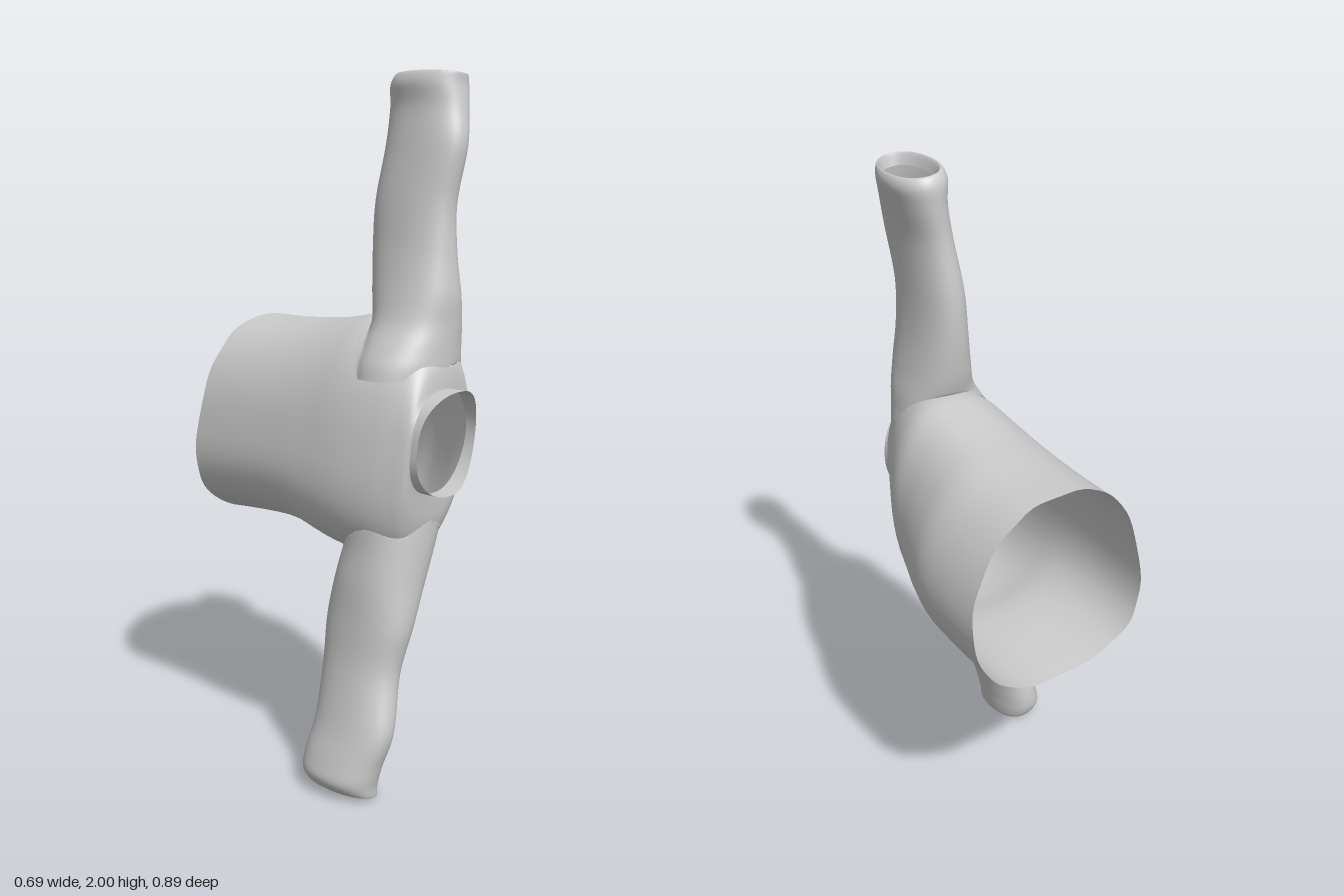
import * as THREE from 'three';

const material = new THREE.MeshStandardMaterial({ color: 0xcccccc, side: THREE.DoubleSide });
const SIDES = 64;
const STEPS = 6;

// Smooth interpolation through rows of numbers (Catmull-Rom, column by column)
function refine(rows) {
  const out = [];
  const last = rows.length - 1;
  for (let i = 0; i < last; i++) {
    const p = [rows[Math.max(i - 1, 0)], rows[i], rows[i + 1], rows[Math.min(i + 2, last)]];
    for (let s = 0; s < STEPS; s++) {
      const t = s / STEPS;
      out.push(p[1].map((b, c) => {
        const a = p[0][c], d = p[2][c], e = p[3][c];
        return 0.5 * (2 * b + (d - a) * t + (2 * a - 5 * b + 4 * d - e) * t * t + (3 * b - a - 3 * d + e) * t * t * t);
      }));
    }
  }
  out.push(rows[last]);
  return out;
}

// Point on an oval given as [position, uMin, uMax, vMin, vMax]
function oval([, u0, u1, v0, v1], a, power) {
  const round = (w) => Math.sign(w) * Math.pow(Math.abs(w), 2 / power);
  return [
    (u0 + u1) / 2 + ((u1 - u0) / 2) * round(Math.cos(a)),
    (v0 + v1) / 2 + ((v1 - v0) / 2) * round(Math.sin(a)),
  ];
}

// Open tube through rings of points; cells whose corner passes the cut test are left out
function tube(name, rings, point, cut = () => false) {
  const positions = [], index = [];
  rings.forEach((row, r) => {
    for (let i = 0; i < SIDES; i++) {
      const p = point(row, (i / SIDES) * Math.PI * 2, r / (rings.length - 1));
      positions.push(...p);
      if (r < rings.length - 1 && !cut(...p)) {
        const j = (i + 1) % SIDES, n = r * SIDES;
        index.push(n + i, n + j, n + SIDES + i, n + j, n + SIDES + j, n + SIDES + i);
      }
    }
  });
  const geometry = new THREE.BufferGeometry();
  geometry.setAttribute('position', new THREE.Float32BufferAttribute(positions, 3));
  geometry.setIndex(index);
  geometry.computeVertexNormals();
  const mesh = new THREE.Mesh(geometry, material);
  mesh.name = name;
  return mesh;
}

// Torso, from the open hem to the neckline: [z, xMin, xMax, yMin, yMax]
const torsoRings = refine([
  [-0.435, -0.23, 0.34, 0.67, 1.285],
  [-0.3, -0.23, 0.34, 0.68, 1.285],
  [-0.17, -0.23, 0.332, 0.685, 1.293],
  [-0.07, -0.23, 0.303, 0.68, 1.303],
  [0.03, -0.23, 0.267, 0.66, 1.32],
  [0.12, -0.23, 0.238, 0.65, 1.335],
  [0.2, -0.225, 0.195, 0.65, 1.325],
  [0.29, -0.212, 0.14, 0.66, 1.3],
  [0.35, -0.198, 0.11, 0.7, 1.26],
  [0.378, -0.188, 0.098, 0.77, 1.21],
  [0.387, -0.18, 0.09, 0.86, 1.145],
]);

// Flatter back panel, rounder chest, both leaning with the arms
function torsoPoint(row, a) {
  const front = THREE.MathUtils.smoothstep(row[0], -0.1, 0.3);
  const [x, y] = oval(row, a, 2.25 - 0.25 * Math.cos(a));
  const lean = THREE.MathUtils.lerp(0.05 - 0.12 * Math.cos(a), 0.15, front);
  return [x + lean * (y - 1), y];
}

// Height of the torso surface above (side 1) or below (side -1) a point
function torsoHeight(x, z, side) {
  const row = torsoRings.find((r) => r[0] >= z) ?? torsoRings.at(-1);
  let lo = 0, hi = Math.PI;
  for (let i = 0; i < 20; i++) {
    const mid = (lo + hi) / 2;
    if (torsoPoint(row, side * mid)[0] > x) lo = mid;
    else hi = mid;
  }
  return torsoPoint(row, side * lo)[1];
}

export function createModel() {
  const group = new THREE.Group();
  group.name = 'shirt';

  // The torso is open where the sleeves join
  const armhole = (x, y, z) => Math.abs(y - 0.99) > 0.26
    && Math.hypot((x + 0.047 - 0.054 * Math.sign(y - 1)) / 0.08, (z - 0.25) / 0.1) < 1;
  group.add(tube('torso', torsoRings, (row, a, t) => {
    const [x, y] = torsoPoint(row, a);
    const hem = t < 0.02 ? 0.006 * Math.sin(a * 3) + 0.003 * Math.sin(a * 11) : 0;
    const dip = Math.max(0, (t - 0.8) / 0.2) * 0.02 * Math.cos(a);
    return [x, y, row[0] + hem - dip];
  }, armhole));

  // Collar band, rooted in the neckline and dipping towards the chest side
  const neckline = torsoRings.at(-1);
  group.add(tube('collar', [0, 0.5, 1], (h, a) => {
    const [x, y] = torsoPoint(neckline, a);
    const base = 0.385 - 0.02 * Math.cos(a);
    const rim = 0.415 + 0.03 * Math.sin(a) ** 2 - 0.015 * Math.cos(a);
    return [x, y, base + (rim - base) * h];
  }));

  // Sleeves, from the shoulder to the rolled cuff: [y, xMin, xMax, zMin, zMax]
  const leftSleeve = [
    [1.17, -0.19, 0.13, 0.13, 0.378],
    [1.21, -0.178, 0.13, 0.13, 0.38],
    [1.26, -0.148, 0.126, 0.128, 0.38],
    [1.32, -0.11, 0.122, 0.125, 0.38],
    [1.4, -0.085, 0.11, 0.105, 0.382],
    [1.52, -0.06, 0.098, 0.09, 0.368],
    [1.65, -0.043, 0.098, 0.088, 0.362],
    [1.8, -0.018, 0.112, 0.105, 0.383],
    [1.9, -0.002, 0.137, 0.105, 0.365],
    [1.965, -0.005, 0.155, 0.105, 0.352],
    [1.995, 0.01, 0.145, 0.125, 0.35],
    [1.96, 0.025, 0.13, 0.14, 0.34],
  ];
  const rightSleeve = [
    [0.83, -0.215, 0.06, 0.13, 0.378],
    [0.78, -0.218, 0.05, 0.128, 0.38],
    [0.7, -0.222, 0.02, 0.125, 0.381],
    [0.6, -0.235, -0.022, 0.105, 0.38],
    [0.48, -0.245, -0.077, 0.09, 0.38],
    [0.35, -0.262, -0.117, 0.098, 0.362],
    [0.2, -0.3, -0.165, 0.108, 0.384],
    [0.1, -0.335, -0.185, 0.098, 0.362],
    [0.045, -0.348, -0.192, 0.102, 0.35],
    [0.012, -0.322, -0.2, 0.125, 0.345],
    [0.05, -0.308, -0.215, 0.14, 0.335],
  ];
  for (const [name, rows, side] of [['leftSleeve', leftSleeve, 1], ['rightSleeve', rightSleeve, -1]]) {
    group.add(tube(name, refine(rows), (row, a, t) => {
      const [x, z] = oval(row, a, 2.2);
      // The shoulder end drapes over the torso instead of passing into it
      const surface = torsoHeight(x, z, side) + side * 0.002;
      const y = side * Math.max(side * row[0], side * surface);
      return [x, y - 0.01 * Math.cos(a) * t, z];
    }));
  }

  return group;
}
